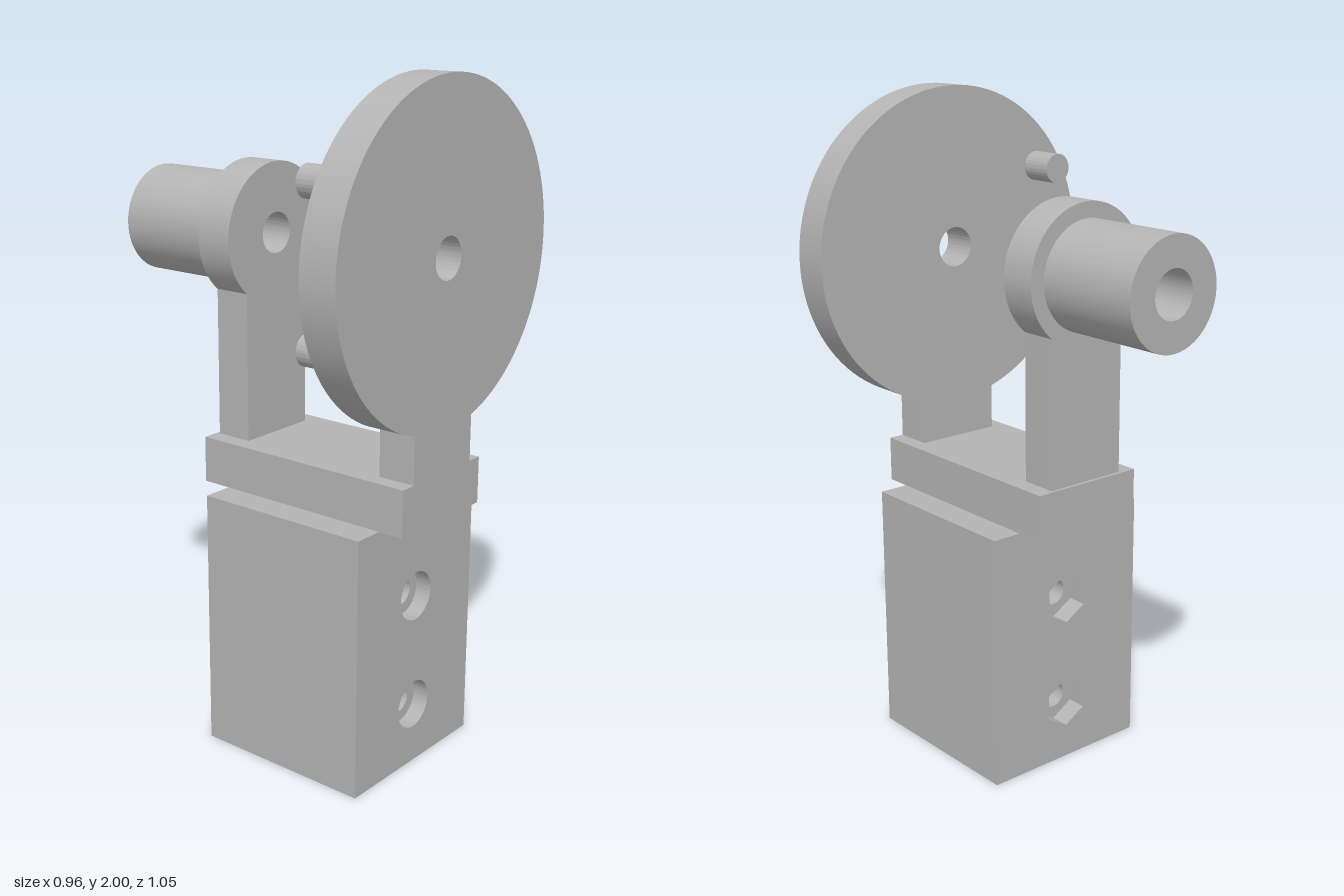
import * as THREE from 'three';
import { toCreasedNormals } from 'three/addons/utils/BufferGeometryUtils.js';

const grey = new THREE.MeshStandardMaterial({ color: 0xb4b4b4 });
grey.name = 'plain grey';

const AXIS_Y = 1.52;    // height of the disc and bearing axis
const SLAB_TOP = 0.92;
const BOLTS = [0.185, 0.53];

function add(parent, name, geometry) {
  const mesh = new THREE.Mesh(geometry, grey);
  mesh.name = name;
  parent.add(mesh);
  return mesh;
}

// Extrude a front-facing outline between two z depths
function plate(shape, z0, z1) {
  const g = new THREE.ExtrudeGeometry(shape, { depth: z1 - z0, bevelEnabled: false, curveSegments: 48 });
  g.translate(0, 0, z0);
  return toCreasedNormals(g, 0.6);
}

function block(x0, x1, y0, y1, z0, z1) {
  const g = new THREE.BoxGeometry(x1 - x0, y1 - y0, z1 - z0);
  return g.translate((x0 + x1) / 2, (y0 + y1) / 2, (z0 + z1) / 2);
}

function circle(x, y, r) {
  return new THREE.Shape().absarc(x, y, r, 0, Math.PI * 2, false);
}

function hexagon(x, y, r) {
  const pts = [];
  for (let i = 0; i < 6; i++) {
    const a = Math.PI / 2 + i * Math.PI / 3;
    pts.push(new THREE.Vector2(x + r * Math.cos(a), y + r * Math.sin(a)));
  }
  return new THREE.Shape(pts);
}

// Round head flowing into a straight post, with an optional centre hole
function headOnPost(radius, halfPost, hole) {
  const a = Math.asin(halfPost / radius);
  const s = new THREE.Shape();
  s.moveTo(-halfPost, SLAB_TOP);
  s.lineTo(halfPost, SLAB_TOP);
  s.absarc(0, AXIS_Y, radius, -Math.PI / 2 + a, Math.PI * 1.5 - a, false);
  s.closePath();
  s.holes.push(circle(0, AXIS_Y, hole));
  return s;
}

// Full base-width wall with one opening per bolt
function boltWall(opening) {
  const s = new THREE.Shape();
  s.moveTo(-0.275, 0).lineTo(0.275, 0).lineTo(0.275, 0.782).lineTo(-0.275, 0.782).closePath();
  BOLTS.forEach(y => s.holes.push(opening(y)));
  return s;
}

function createBase() {
  const base = new THREE.Group();
  base.name = 'base';
  const cz = 0.167, half = 0.143, r = 0.15, w = 0.045;

  // Walls with round counterbores in front and hexagonal nut pockets behind
  add(base, 'frontCounterboreWall', plate(boltWall(y => circle(0, y, 0.073)), 0.395, 0.445));
  add(base, 'frontBoltWall', plate(boltWall(y => circle(0, y, 0.04)), cz + half, 0.395));
  add(base, 'backBoltWall', plate(boltWall(y => circle(0, y, 0.04)), -0.05, cz - half));
  add(base, 'backNutWall', plate(boltWall(y => hexagon(0, y, 0.08)), -0.11, -0.05));

  // Two cheeks around the vertical socket
  const a = Math.acos(w / r);
  for (const side of [1, -1]) {
    const s = new THREE.Shape();
    s.moveTo(side * w, -half);
    s.lineTo(side * 0.275, -half);
    s.lineTo(side * 0.275, half);
    s.lineTo(side * w, half);
    if (side > 0) s.absarc(0, 0, r, a, -a, true);
    else s.absarc(0, 0, r, Math.PI - a, Math.PI + a, false);
    const g = plate(s, 0, 0.69);
    g.rotateX(-Math.PI / 2).translate(0, 0, cz);
    add(base, side > 0 ? 'leftCheek' : 'rightCheek', g);
  }
  add(base, 'socketRoof', block(-0.275, 0.275, 0.69, 0.782, cz - half, cz + half));
  return base;
}

export function createModel() {
  const model = new THREE.Group();
  model.name = 'discStand';
  model.add(createBase());

  // Slab joining both uprights
  add(model, 'slab', block(-0.183, 0.183, 0.782, SLAB_TOP, -0.2, 0.523));

  // Front disc and its post
  add(model, 'frontDisc', plate(headOnPost(0.481, 0.135, 0.06), 0.408, 0.523));

  // Rear upright with bearing ring
  add(model, 'rearUpright', plate(headOnPost(0.206, 0.13, 0.06), -0.19, -0.076));

  // Barrel with a blind bore open to the back
  const barrel = circle(0, AXIS_Y, 0.16);
  barrel.holes.push(circle(0, AXIS_Y, 0.07));
  add(model, 'barrel', plate(barrel, -0.523, -0.19));
  add(model, 'boreEnd', plate(circle(0, AXIS_Y, 0.072), -0.23, -0.19));

  // Pegs on the back of the disc
  for (const dy of [-0.22, 0.22]) {
    add(model, dy > 0 ? 'upperPeg' : 'lowerPeg', plate(circle(-0.323, AXIS_Y + dy, 0.045), 0.304, 0.41));
  }
  return model;
}
